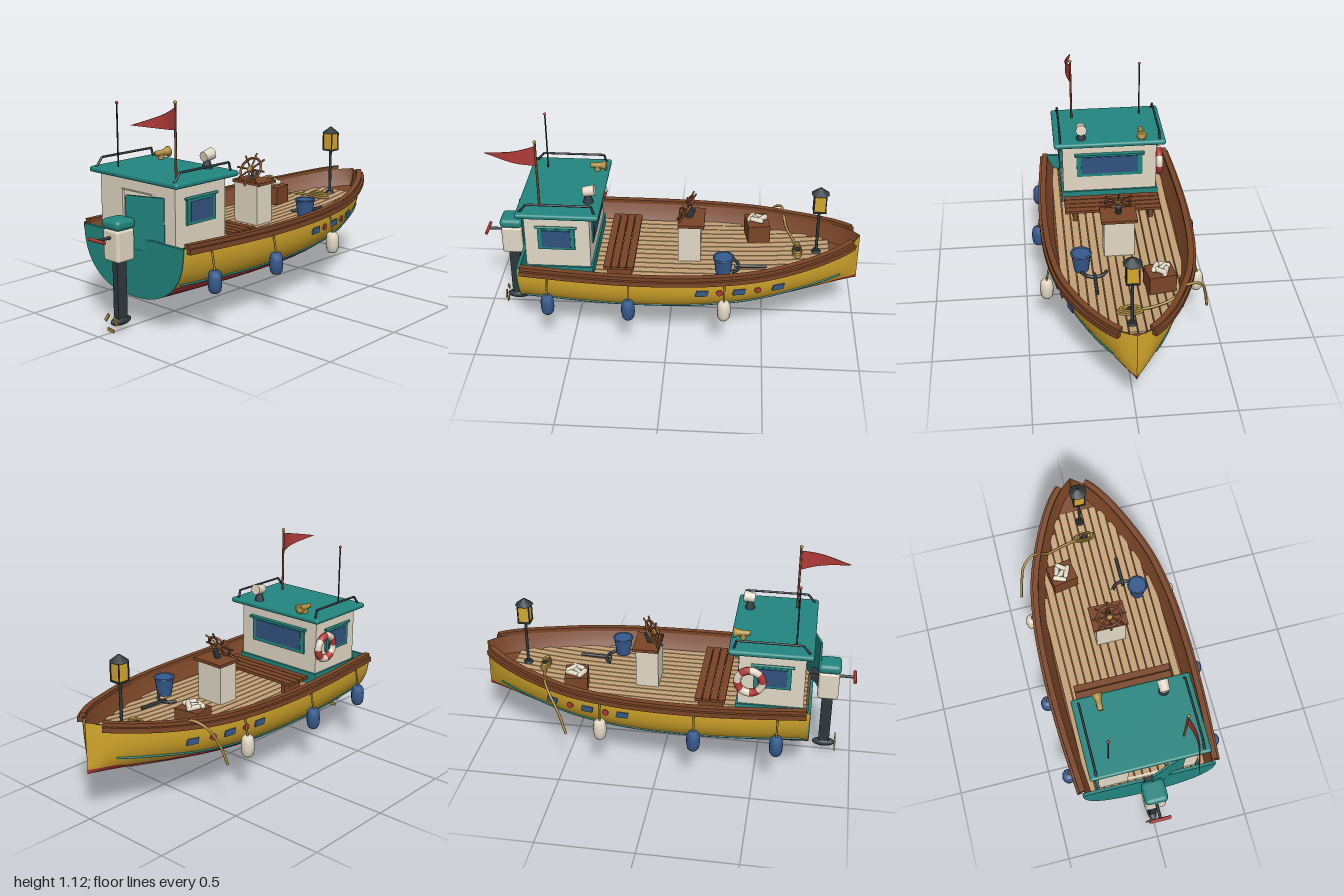
import * as THREE from 'three';
import { RoundedBoxGeometry } from 'three/addons/geometries/RoundedBoxGeometry.js';

const mat = (name, color, side = THREE.FrontSide) => Object.assign(new THREE.MeshStandardMaterial({ color, side }), { name });
const V = (x, y, z) => new THREE.Vector3(x, y, z);
const points = list => list.map(p => new THREE.Vector2(...p));

// Smooth curve through [z, value] pairs
function table(p) {
  const m = p.map((_, i) => {
    const a = p[Math.max(0, i - 1)], b = p[Math.min(p.length - 1, i + 1)];
    return (b[1] - a[1]) / (b[0] - a[0]);
  });
  return z => {
    z = Math.min(p[p.length - 1][0], Math.max(p[0][0], z));
    let i = 0;
    while (i < p.length - 2 && z > p[i + 1][0]) i++;
    const h = p[i + 1][0] - p[i][0], t = (z - p[i][0]) / h, u = 1 - t;
    return p[i][1] * (1 + 2 * t) * u * u + h * m[i] * t * u * u + p[i + 1][1] * t * t * (3 - 2 * t) - h * m[i + 1] * t * t * u;
  };
}

// Hull lines: beam, gunwale height, keel height, section fullness, waterline
const beam = table([[-1, 0], [-0.95, 0.08], [-0.82, 0.175], [-0.635, 0.265], [-0.45, 0.33], [-0.24, 0.367], [-0.05, 0.382], [0.185, 0.386], [0.45, 0.377], [0.77, 0.355]]);
const sheer = table([[-1, 0.514], [-0.65, 0.469], [-0.3, 0.449], [0.2, 0.444], [0.77, 0.458]]);
const keel = table([[-1, 0.246], [-0.75, 0.22], [-0.5, 0.19], [-0.25, 0.165], [0, 0.154], [0.77, 0.152]]);
const full = table([[-1, 2.1], [-0.4, 2.55], [0.3, 2.6], [0.77, 2.35]]);
const waterline = table([[-1, 0.268], [-0.88, 0.281], [-0.84, 0.27], [-0.64, 0.262], [-0.6, 0.266], [-0.3, 0.254], [0.77, 0.254]]);
const deck = z => sheer(z) - 0.085;
const half = (z, y) => {
  const f = Math.min(1, Math.max(0, (y - keel(z)) / (sheer(z) - keel(z)))), n = full(z);
  return beam(z) * Math.pow(1 - Math.pow(1 - f, n), 1 / n);
};
const slope = z => (beam(Math.min(0.77, z + 0.01)) - beam(Math.max(-1, z - 0.01))) / 0.02;

// Surface from a rule f(u, v)
function grid(f, nu, nv) {
  const pos = [], idx = [];
  for (let i = 0; i <= nu; i++) for (let j = 0; j <= nv; j++) pos.push(...f(i / nu, j / nv));
  for (let i = 0; i < nu; i++) for (let j = 0; j < nv; j++) {
    const a = i * (nv + 1) + j, b = a + nv + 1;
    idx.push(a, b, b + 1, a, b + 1, a + 1);
  }
  const g = new THREE.BufferGeometry();
  g.setAttribute('position', new THREE.Float32BufferAttribute(pos, 3));
  g.setIndex(idx);
  g.computeVertexNormals();
  return g;
}
function bend(g, rule) {
  const p = g.attributes.position;
  for (let i = 0; i < p.count; i++) p.setXYZ(i, ...rule(p.getX(i), p.getY(i), p.getZ(i)));
  g.computeVertexNormals();
  return g;
}

export function createModel() {
  const boat = new THREE.Group();
  boat.name = 'fishingBoat';
  const teal = mat('teal', 0x21857f), yellow = mat('yellow', 0xd6a92c), red = mat('red', 0xb03a38),
    cream = mat('cream', 0xe2d8c5), brown = mat('brown', 0x7a4527, THREE.DoubleSide), tan = mat('tan', 0xc4a176),
    dark = mat('charcoal', 0x30383d), blue = mat('blue', 0x365a8e), glass = mat('glass', 0x32527f), gold = mat('brass', 0xb08f3e);
  const add = (name, geo, m, x = 0, y = 0, z = 0, rx = 0, ry = 0, rz = 0, parent = boat) => {
    const o = new THREE.Mesh(geo, m);
    o.name = name; o.position.set(x, y, z); o.rotation.set(rx, ry, rz);
    parent.add(o);
    return o;
  };
  const box = (name, m, w, h, d, ...r) => add(name, new THREE.BoxGeometry(w, h, d), m, ...r);
  const cyl = (name, m, r1, r2, h, n, ...r) => add(name, new THREE.CylinderGeometry(r1, r2, h, n), m, ...r);
  const ball = (name, m, r, ...a) => add(name, new THREE.SphereGeometry(r, 14, 10), m, ...a);
  const tube = (name, m, pts, r, seg = 24) => add(name, new THREE.TubeGeometry(new THREE.CatmullRomCurve3(pts), seg, r, 8), m);
  const rod = (name, m, a, b, r) => {
    const d = b.clone().sub(a), o = cyl(name, m, r, r, d.length(), 8);
    o.position.copy(a).addScaledVector(d, 0.5);
    o.quaternion.setFromUnitVectors(V(0, 1, 0), d.normalize());
    return o;
  };
  const along = (z0, z1, n, f) => Array.from({ length: n + 1 }, (_, i) => f(z0 + (z1 - z0) * i / n));

  // Hull sides with everything mirrored on them
  for (const s of [1, -1]) {
    const zu = u => -1 + 1.77 * (s > 0 ? 1 - u : u);
    const line = z => Math.max(keel(z), waterline(z));
    add('lowerHull', grid((u, v) => {
      const z = zu(u), y = keel(z) + (line(z) - keel(z)) * v ** 3;
      return [s * half(z, y), y, z];
    }, 80, 14), red);
    add('upperHull', grid((u, v) => {
      const z = zu(u), y = line(z) + (sheer(z) - line(z)) * v;
      return [s * half(z, y), y, z];
    }, 80, 10), yellow);
    add('innerHull', grid((u, v) => {
      const z = zu(u), y = deck(z) - 0.015 + 0.1 * v;
      return [s * Math.max(0, half(z, y) - 0.012 - 0.035 * (1 - v)), y, z];
    }, 60, 3), brown);
    const strip = (name, w, h, off, dy) => add(name, bend(new THREE.BoxGeometry(w, h, 1, 1, 1, 60), (x, y, t) => {
      const z = -0.1 + t * 1.71, d = slope(z), l = Math.hypot(1, d), o = s * x + off;
      return [s * (beam(z) + o / l), sheer(z) + dy + y, z - o * d / l];
    }), brown);
    strip('railCap', 0.03, 0.02, -0.003, 0.008);
    strip('rubRail', 0.026, 0.026, 0.012, -0.014);
    const stripeY = table([[-0.9, 0.327], [-0.35, 0.262], [0.2, 0.248], [0.75, 0.264]]);
    tube('hullStripe', teal, along(0.75, -0.9, 24, z => V(s * (half(z, stripeY(z)) + 0.001), stripeY(z), z)), 0.006, 60);
    tube('bilgeStrip', cream, along(0.7, -0.8, 16, z => {
      const y = keel(z) + (sheer(z) - keel(z)) * 0.055;
      return V(s * half(z, y), y, z);
    }), 0.005, 50);

    // Painted plates on the bow sides
    [-0.18, -0.27, -0.37, -0.465, -0.57].forEach((z, i) => {
      const plate = new THREE.Shape(points([[-0.034, -0.016], [0.027, -0.016], [0.034, 0.016], [-0.027, 0.016]]));
      const shape = i % 2 ? new THREE.Shape().absarc(0, 0, 0.017, 0, Math.PI * 2) : plate;
      add('hullPlate', new THREE.ExtrudeGeometry(shape, { depth: 0.008, bevelEnabled: false }), i % 2 ? red : blue,
        s * half(z, 0.36), 0.36, z, 0, Math.atan2(s, -slope(z)), 0);
    });

    // Fenders on ropes
    const profile = points([[0, -0.055], [0.022, -0.055], [0.031, -0.042], [0.035, -0.015], [0.035, 0.015], [0.031, 0.04], [0.022, 0.053], [0, 0.053]]);
    [[0.615, blue], [0.195, blue], [-0.295, cream]].forEach(([z, m]) => {
      const x = s * (beam(z) + 0.033);
      add('fender', new THREE.LatheGeometry(profile, 12), m, x, 0.277, z);
      rod('fenderRope', gold, V(s * (beam(z) + 0.012), sheer(z) - 0.015, z), V(x, 0.325, z), 0.005);
    });

    // Roof rails and side windows
    const railPath = [[0.75, 0.755], [0.797, 0.715], [0.797, 0.385], [0.75, 0.372]].map(([y, z]) => V(s * 0.275, y, z));
    for (let i = 0; i < 3; i++) rod('roofRail', dark, railPath[i], railPath[i + 1], 0.006);
    box('sideWindowFrame', teal, 0.024, 0.13, 0.19, s * 0.264, 0.6, 0.572);
    box('sideWindow', glass, 0.028, 0.098, 0.148, s * 0.266, 0.598, 0.572);
    rod('windowHood', teal, V(s * 0.275, 0.665, 0.465), V(s * 0.275, 0.665, 0.68), 0.007);
    box('cabinSide', cream, 0.014, 0.37, 0.335, s * 0.256, 0.55, 0.568);
    box('cabinSkirt', teal, 0.014, 0.075, 0.35, s * 0.266, 0.39, 0.568);
    box('benchLeg', brown, 0.025, 0.06, 0.13, s * 0.21, 0.385, 0.257);
  }

  // Transom
  const edge = Array.from({ length: 21 }, (_, i) => 0.152 + 0.304 * (i / 20) ** 2);
  const outline = [...edge.map(y => [half(0.77, y), y]), ...edge.slice(1).reverse().map(y => [-half(0.77, y), y])];
  add('transom', new THREE.ExtrudeGeometry(new THREE.Shape(points(outline)), { depth: 0.016, bevelEnabled: false }), teal, 0, 0, 0.76);

  // Deck and planks
  add('deckBase', grid((u, v) => {
    const z = 0.765 - 1.76 * u;
    return [(2 * v - 1) * Math.max(0, half(z, deck(z)) - 0.012), deck(z) - 0.012, z];
  }, 50, 2), brown);
  for (let i = -7; i <= 7; i++) {
    const x0 = i * 0.043;
    let start = -0.845;
    while (beam(start) < Math.abs(x0) + 0.045) start += 0.01;
    add('deckPlank', bend(new THREE.BoxGeometry(0.038, 0.012, 1, 1, 1, 20), (x, y, t) => {
      const z = start + (t + 0.5) * (0.75 - start);
      return [x0 + x, deck(z) - 0.004 + y, z];
    }), tan);
  }

  // Cabin
  const rear = new THREE.Shape(points([[-0.263, 0.365], [0.263, 0.365], [0.263, 0.735], [-0.263, 0.735]]));
  rear.holes.push(new THREE.Path(points([[-0.105, 0.38], [-0.105, 0.665], [0.105, 0.665], [0.105, 0.38]])));
  add('cabinRear', new THREE.ExtrudeGeometry(rear, { depth: 0.014, bevelEnabled: false }), cream, 0, 0, 0.722);
  box('doorLintel', cream, 0.21, 0.006, 0.006, 0, 0.668, 0.738);
  box('cabinFront', cream, 0.526, 0.37, 0.014, 0, 0.55, 0.407);
  box('cabinSkirtFront', teal, 0.546, 0.075, 0.014, 0, 0.39, 0.397);
  box('frontWindowFrame', teal, 0.37, 0.14, 0.028, 0, 0.592, 0.407);
  box('frontWindow', glass, 0.32, 0.104, 0.034, 0, 0.593, 0.407);
  box('frontWindowHood', teal, 0.39, 0.012, 0.03, 0, 0.662, 0.39);
  add('cabinRoof', new RoundedBoxGeometry(0.62, 0.028, 0.425, 3, 0.012), teal, 0, 0.742, 0.56);
  box('cabinDoor', teal, 0.203, 0.265, 0.012, 0.095, 0.533, 0.77, 0, 0.353, 0);
  cyl('extinguisher', red, 0.025, 0.025, 0.11, 14, -0.2, 0.53, 0.62);
  for (let i = 0; i < 8; i++)
    add('lifeRing', new THREE.TorusGeometry(0.064, 0.02, 10, 6, Math.PI / 4), i % 2 ? red : cream, -0.283, 0.57, 0.46, 0, Math.PI / 2, i * Math.PI / 4);

  // Roof fittings
  rod('antenna', dark, V(-0.195, 0.75, 0.68), V(-0.195, 1.07, 0.68), 0.004);
  ball('antennaTip', red, 0.008, -0.195, 1.072, 0.68);
  rod('flagPole', brown, V(0.195, 0.75, 0.662), V(0.195, 1.105, 0.662), 0.006);
  ball('flagPoleTip', gold, 0.009, 0.195, 1.11, 0.662);
  add('flag', bend(new THREE.BoxGeometry(0.004, 0.108, 1, 1, 1, 14), (x, y, t) => {
    const u = t + 0.5;
    return [0.195 + x + 0.024 * Math.sin(u * 4) * (1 - u * 0.2), 1.033 + y * (1 - u), 0.662 + 0.262 * u];
  }), red);
  const horn = points([[0, -0.045], [0.014, -0.045], [0.015, 0], [0.019, 0.02], [0.029, 0.04], [0.014, 0.032], [0, 0.028]]);
  add('horn', new THREE.LatheGeometry(horn, 16), gold, -0.175, 0.788, 0.4, -Math.PI / 2);
  cyl('hornStand', gold, 0.014, 0.016, 0.035, 10, -0.175, 0.77, 0.41);
  cyl('searchlightStand', dark, 0.014, 0.028, 0.055, 12, 0.157, 0.78, 0.415);
  cyl('searchlight', cream, 0.03, 0.025, 0.06, 16, 0.157, 0.82, 0.41, -Math.PI / 2 + 0.15);

  // Bench
  for (let i = 0; i < 4; i++) box('benchSlat', brown, 0.53, 0.016, 0.036, 0, 0.424, 0.197 + i * 0.0405);

  // Helm console and wheel
  box('console', cream, 0.16, 0.22, 0.12, 0, 0.468, -0.1);
  box('consoleTop', brown, 0.19, 0.016, 0.14, 0, 0.583, -0.108);
  rod('wheelColumn', dark, V(0, 0.585, -0.092), V(0, 0.64, -0.115), 0.016);
  const wheel = new THREE.Group();
  wheel.name = 'wheel'; wheel.position.set(0, 0.65, -0.08); wheel.rotation.x = -0.56;
  boat.add(wheel);
  add('wheelRim', new THREE.TorusGeometry(0.066, 0.007, 8, 28), brown, 0, 0, 0, 0, 0, 0, wheel);
  cyl('wheelHub', gold, 0.016, 0.016, 0.02, 12, 0, 0, 0, Math.PI / 2, 0, 0, wheel);
  for (let i = 0; i < 4; i++) cyl('wheelSpoke', brown, 0.005, 0.005, 0.19, 8, 0, 0, 0, 0, 0, i * Math.PI / 4, wheel);

  // Catch crate
  box('crate', brown, 0.14, 0.1, 0.12, -0.175, 0.425, -0.46, 0, 0.17, 0);
  [[-0.2, -0.48, 0.3], [-0.17, -0.485, -0.9], [-0.185, -0.45, 0.8], [-0.15, -0.455, 0.4], [-0.195, -0.425, -1.2]].forEach(([x, z, a], i) =>
    add('fish', new THREE.CapsuleGeometry(0.014, 0.05, 4, 10), cream, x, 0.483 + (i % 2) * 0.009, z, Math.PI / 2, 0, a));

  // Bucket
  cyl('bucket', blue, 0.052, 0.038, 0.1, 18, 0.21, 0.432, -0.285);
  add('bucketRim', new THREE.TorusGeometry(0.051, 0.005, 8, 20), blue, 0.21, 0.481, -0.285, Math.PI / 2);

  // Anchor lying on the deck
  rod('anchorShank', dark, V(0.145, 0.39, -0.51), V(0.145, 0.385, -0.34), 0.009);
  tube('anchorArms', dark, [V(0.08, 0.39, -0.325), V(0.105, 0.387, -0.355), V(0.145, 0.385, -0.365), V(0.185, 0.387, -0.355), V(0.212, 0.39, -0.325)], 0.009);

  // Rope coil and mooring line over the gunwale
  cyl('cleat', dark, 0.014, 0.02, 0.03, 10, 0, 0.4, -0.675);
  for (let i = 0; i < 3; i++) add('ropeCoil', new THREE.TorusGeometry(0.054 - i * 0.006, 0.007, 8, 24), gold, 0, 0.398 + i * 0.01, -0.675, Math.PI / 2).scale.set(1.1, 0.45, 1);
  tube('mooringLine', gold, [V(-0.04, 0.4, -0.67), V(-0.13, 0.4, -0.65), V(-0.22, 0.415, -0.62), V(-0.28, 0.475, -0.602), V(-0.315, 0.485, -0.595), V(-0.37, 0.45, -0.56), V(-0.4, 0.36, -0.51), V(-0.42, 0.245, -0.47)], 0.007, 50);

  // Bow lantern
  rod('lanternPost', dark, V(0, 0.4, -0.775), V(0, 0.66, -0.775), 0.008);
  cyl('lanternFoot', dark, 0.02, 0.026, 0.014, 10, 0, 0.408, -0.775);
  box('lanternGlass', yellow, 0.058, 0.098, 0.058, 0, 0.71, -0.775);
  box('lanternBase', dark, 0.068, 0.008, 0.068, 0, 0.66, -0.775);
  for (const x of [-1, 1]) for (const z of [-1, 1]) box('lanternBar', dark, 0.006, 0.096, 0.006, x * 0.03, 0.709, -0.775 + z * 0.03);
  cyl('lanternRoof', dark, 0.006, 0.049, 0.034, 8, 0, 0.776, -0.775, 0, Math.PI / 8, 0);

  // Outboard motor
  add('motorCowl', new RoundedBoxGeometry(0.11, 0.16, 0.11, 3, 0.016), cream, 0, 0.434, 0.857);
  add('motorTop', new RoundedBoxGeometry(0.122, 0.052, 0.12, 3, 0.022), teal, 0, 0.536, 0.857);
  box('motorBracket', dark, 0.06, 0.05, 0.05, 0, 0.47, 0.79);
  box('motorLeg', dark, 0.034, 0.32, 0.058, 0, 0.21, 0.857);
  ball('gearcase', dark, 0.027, 0, 0.05, 0.857).scale.set(1, 0.85, 2.3);
  rod('tillerArm', dark, V(0, 0.475, 0.9), V(0, 0.475, 0.99), 0.008);
  rod('tillerGrip', red, V(-0.055, 0.475, 0.991), V(0.055, 0.475, 0.991), 0.009);
  for (let i = 0; i < 3; i++) {
    const a = 0.42 + i * Math.PI * 2 / 3;
    box('propellerBlade', gold, 0.045, 0.016, 0.006, 0.036 * Math.cos(a), 0.052 + 0.038 * Math.sin(a), 0.918, 0, 0, a + Math.PI / 2);
  }
  return boat;
}
